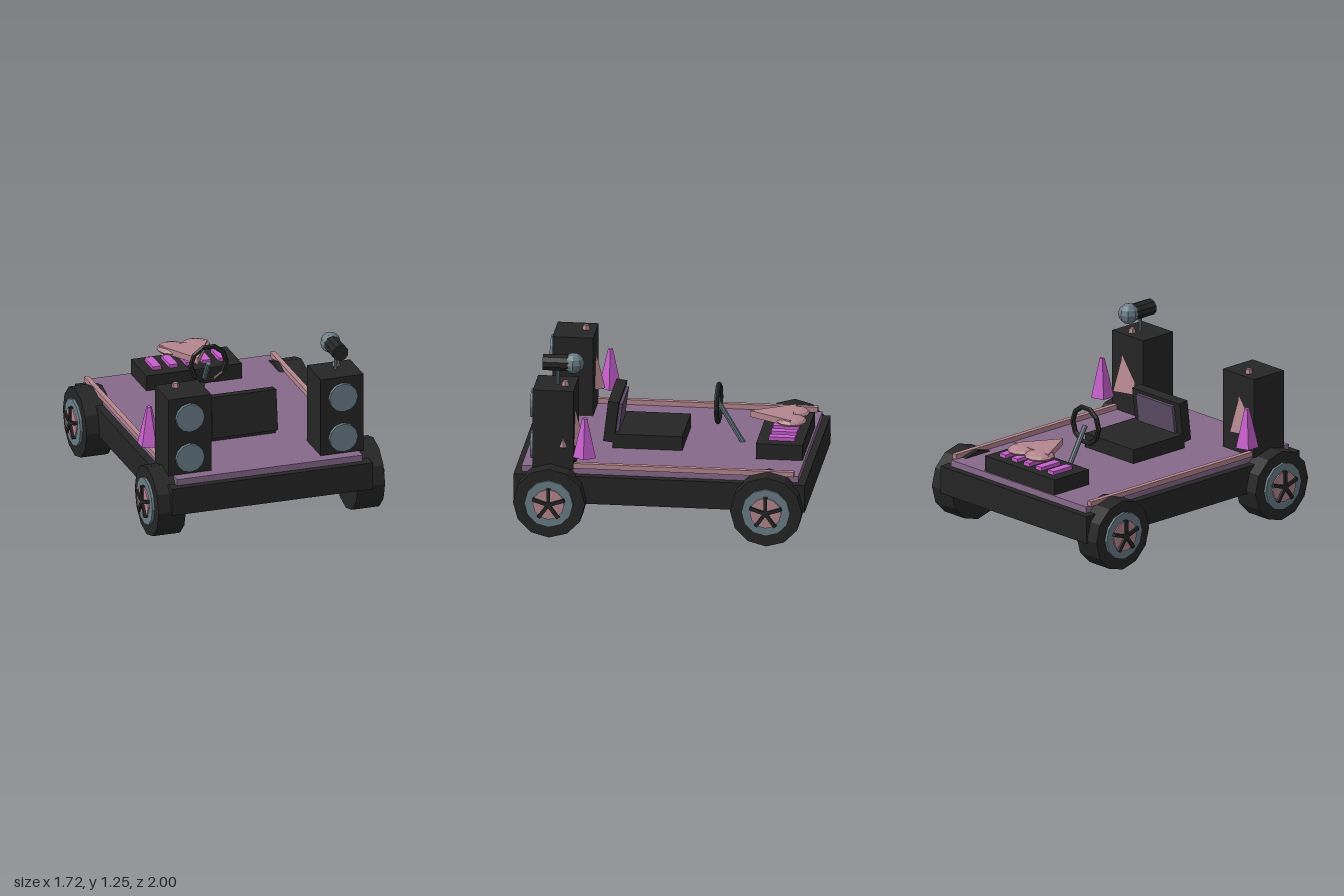
import * as THREE from 'three';

const mat = (name, color) => {
  const m = new THREE.MeshStandardMaterial({ color, flatShading: true });
  m.name = name;
  return m;
};

export function createModel() {
  const black = mat('black', 0x252525);
  const purple = mat('deck purple', 0x87698b);
  const pink = mat('dusty pink', 0xb5868f);
  const magenta = mat('magenta', 0xc75fcd);
  const steel = mat('steel blue', 0x6a7d87);
  const plum = mat('dark plum', 0x5d4c66);

  const model = new THREE.Group();
  model.name = 'musicCart';

  const add = (name, geo, material, x, y, z, parent = model) => {
    const mesh = new THREE.Mesh(geo, material);
    mesh.name = name;
    mesh.position.set(x, y, z);
    parent.add(mesh);
    return mesh;
  };
  const box = (w, h, d) => new THREE.BoxGeometry(w, h, d);
  const cyl = (r, h, n, rTop = r) => new THREE.CylinderGeometry(rTop, r, h, n);
  const group = (name) => {
    const g = new THREE.Group();
    g.name = name;
    model.add(g);
    return g;
  };

  // Chassis and deck
  add('chassis', box(1.45, 0.195, 2), black, 0, 0.3225, 0);
  add('deck', box(1.34, 0.045, 1.9), purple, 0, 0.4425, 0);

  for (const s of [1, -1]) {
    add('sideRail', box(0.035, 0.035, 1.77), pink, s * 0.672, 0.4825, -0.035);

    // Wheels: tyre, rim, hub disc and five spokes
    for (const z of [0.745, -0.745]) {
      const wheel = group('wheel');
      wheel.position.set(s * 0.72, 0.25, z);
      const disc = (name, r, from, to, m) =>
        add(name, cyl(r, to - from, 12).rotateZ(Math.PI / 2), m, s * (from + to) / 2, 0, 0, wheel);
      disc('tyre', 0.247, -0.1, 0.097, black);
      disc('rim', 0.167, 0.09, 0.115, steel);
      disc('hubDisc', 0.108, 0.1, 0.125, pink);
      for (let i = 0; i < 5; i++) {
        const spoke = box(0.03, 0.115, 0.024).translate(0, 0.0575, 0);
        add('spoke', spoke, black, s * 0.125, 0, 0, wheel).rotation.x = i * Math.PI * 2 / 5;
      }
    }

    // Speakers with two drivers and the spike inside them
    const speaker = group('speaker');
    add('cabinet', box(0.31, 0.565, 0.28), black, s * 0.55, 0.7425, 0.73, speaker);
    for (const y of [0.585, 0.88]) {
      add('driver', cyl(0.102, 0.035, 12).rotateX(Math.PI / 2), steel, s * 0.553, y, 0.878, speaker);
    }
    add('innerSpike', cyl(0.144, 0.435, 5, 0.02).rotateY(Math.PI / 2), pink, s * 0.58, 0.8375, 0.66, speaker);
    add('sideSpike', cyl(0.083, 0.275, 5, 0.018).rotateY(Math.PI / 2), magenta, s * 0.719, 0.7025, 0.51);
  }

  // Microphone on the left speaker
  const mic = group('microphone');
  add('micStand', cyl(0.013, 0.12, 8), steel, 0.557, 1.075, 0.715, mic);
  add('micBody', cyl(0.058, 0.215, 10).rotateX(Math.PI / 2), black, 0.557, 1.178, 0.7075, mic);
  add('micHead', new THREE.SphereGeometry(0.072, 8, 6), steel, 0.557, 1.178, 0.605, mic);

  // Seat with a tilted backrest
  const seat = group('seat');
  add('seatBase', box(0.48, 0.1, 0.48), black, 0, 0.515, 0.14, seat);
  const back = new THREE.Group();
  back.name = 'backrest';
  back.position.set(0, 0.65, 0.39);
  back.rotation.x = -0.12;
  seat.add(back);
  add('backPanel', box(0.47, 0.29, 0.075), black, 0, 0, 0, back);
  add('backCushion', box(0.36, 0.2, 0.025), plum, 0, 0.02, -0.046, back);

  // Steering wheel and column
  const steering = group('steering');
  add('steeringWheel', new THREE.TorusGeometry(0.128, 0.018, 6, 10), black, 0, 0.735, -0.32, steering);
  const top = new THREE.Vector3(0, 0.735, -0.325);
  const foot = new THREE.Vector3(0, 0.455, -0.49);
  const axis = top.clone().sub(foot);
  const mid = top.clone().add(foot).multiplyScalar(0.5);
  add('steeringColumn', cyl(0.018, axis.length(), 8), steel, mid.x, mid.y, mid.z, steering)
    .quaternion.setFromUnitVectors(new THREE.Vector3(0, 1, 0), axis.normalize());

  // Keyboard with five keys
  const keyboard = group('keyboard');
  add('keyboardBase', box(0.69, 0.11, 0.32), black, 0, 0.52, -0.778, keyboard);
  for (let i = -2; i <= 2; i++) {
    add('key', box(0.06, 0.035, 0.18), magenta, i * 0.119, 0.5825, -0.787, keyboard);
  }

  // Heart: two flattened lobes and a triangular point
  const heart = group('heart');
  for (const s of [1, -1]) {
    add('heartLobe', new THREE.SphereGeometry(0.105, 10, 6), pink, s * 0.085, 0.66, -0.832, heart)
      .scale.set(1, 0.32, 1);
  }
  add('heartPoint', cyl(0.2, 0.045, 3), pink, 0, 0.6675, -0.735, heart);

  return model;
}
